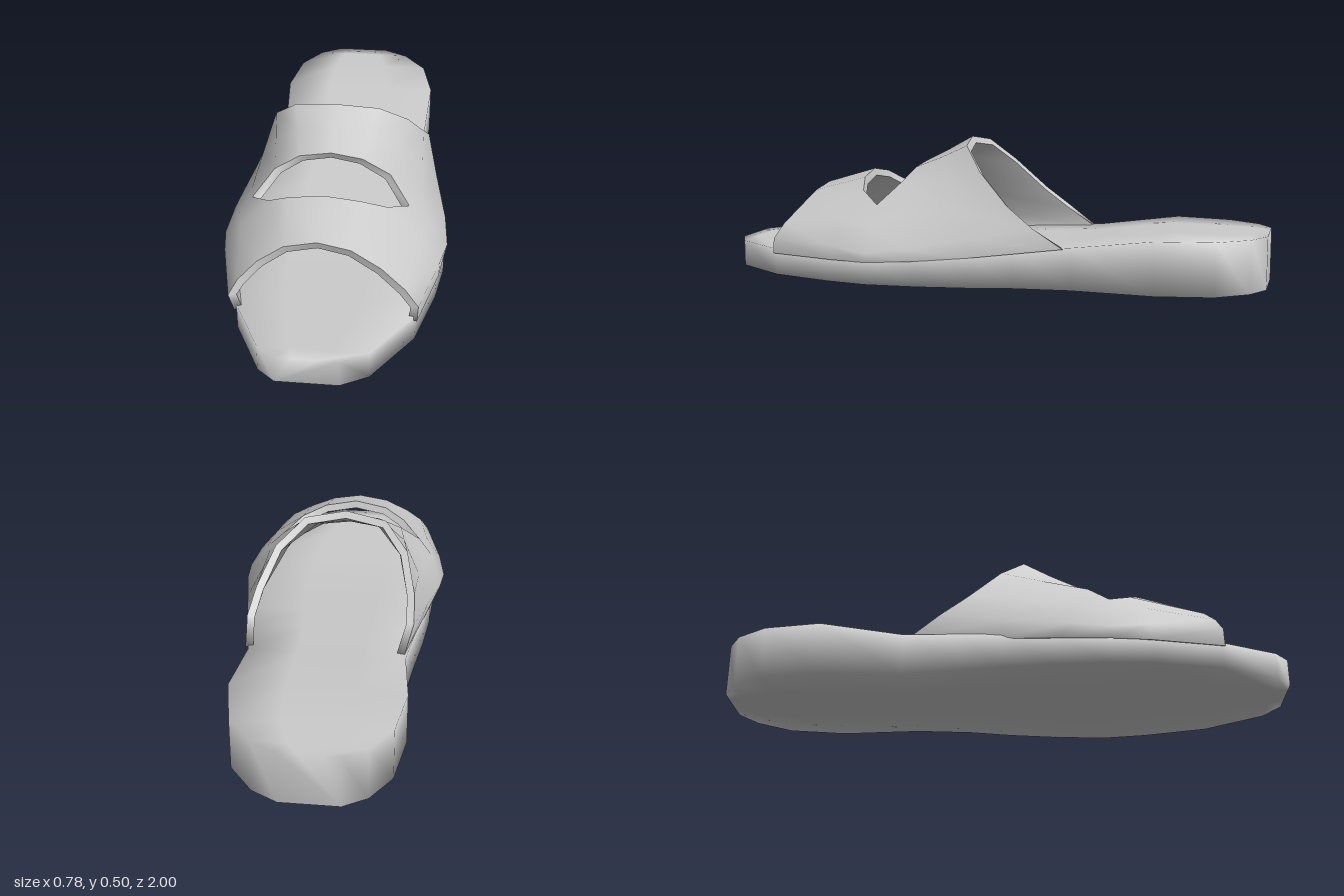
import * as THREE from 'three';

const material = new THREE.MeshStandardMaterial({ color: 0xcccccc });

function makeMesh(name, points, faces) {
  const geometry = new THREE.BufferGeometry();
  geometry.setAttribute('position', new THREE.Float32BufferAttribute(points.flat(), 3));
  geometry.setIndex(faces.flat());
  geometry.computeVertexNormals();
  const mesh = new THREE.Mesh(geometry, material);
  mesh.name = name;
  return mesh;
}

// Sole: one closed cross-section per station, lofted from toe to heel
function createSole() {
  // z, left x, right x, top y
  const stations = [
    [1, -0.14, 0.065, 0.095], [0.95, -0.2, 0.155, 0.095], [0.75, -0.3, 0.285, 0.095],
    [0.52, -0.355, 0.345, 0.095], [0.37, -0.367, 0.367, 0.095], [0.18, -0.36, 0.352, 0.11],
    [0, -0.342, 0.322, 0.123], [-0.15, -0.32, 0.285, 0.136], [-0.35, -0.295, 0.262, 0.15],
    [-0.64, -0.32, 0.275, 0.188], [-0.84, -0.29, 0.235, 0.188],
    [-0.95, -0.22, 0.15, 0.188], [-1, -0.14, 0.06, 0.188],
  ];
  const points = [], faces = [], n = 8;
  for (const [z, left, right, top] of stations) {
    const innerLeft = left + (right - left) * 0.28, innerRight = left + (right - left) * 0.68;
    points.push(
      [left, 0, z], [left, top, z], [innerLeft, top, z], [innerRight, top, z],
      [right, top, z], [right, 0, z], [innerRight, 0, z], [innerLeft, 0, z]);
  }
  for (let r = 0; r < stations.length - 1; r++) {
    for (let c = 0; c < n; c++) {
      const a = r * n + c, b = r * n + (c + 1) % n;
      faces.push([a, b, b + n], [a, b + n, a + n]);
    }
  }
  // Toe and heel ends
  const last = (stations.length - 1) * n;
  for (let i = 1; i < n - 1; i++) {
    faces.push([0, i + 1, i], [last, last + i, last + i + 1]);
  }
  return makeMesh('sole', points, faces);
}

// Upper: arched shell with a toe opening, a cut-out across the instep and an open back
function createUpper() {
  // Right half of each arch from crown to base: x, y, z
  const arches = [
    [[-0.04, 0.31, 0.68], [0.07, 0.29, 0.685], [0.17, 0.24, 0.705],
      [0.25, 0.185, 0.735], [0.295, 0.135, 0.755], [0.292, 0.08, 0.76]],
    [[-0.04, 0.367, 0.49], [0.08, 0.347, 0.48], [0.17, 0.31, 0.45],
      [0.285, 0.22, 0.48], [0.355, 0.13, 0.5], [0.352, 0.08, 0.51]],
    [[-0.04, 0.38, 0.37], [0.08, 0.36, 0.37], [0.24, 0.268, 0.37],
      [0.31, 0.2, 0.37], [0.377, 0.115, 0.37], [0.37, 0.08, 0.37]],
    [[-0.04, 0.405, 0.275], [0.07, 0.39, 0.28], [0.17, 0.345, 0.3],
      [0.28, 0.24, 0.27], [0.365, 0.135, 0.23], [0.359, 0.09, 0.2]],
    [[-0.04, 0.45, 0.185], [0.09, 0.433, 0.17], [0.19, 0.37, 0.14],
      [0.272, 0.265, 0.07], [0.325, 0.17, 0.01], [0.324, 0.108, -0.01]],
    [[-0.04, 0.5, 0.095], [0.11, 0.478, 0.07], [0.21, 0.395, -0.01],
      [0.265, 0.285, -0.125], [0.285, 0.215, -0.22], [0.275, 0.145, -0.325]],
  ];
  // The crown leans to one side, so the mirrored half is shifted
  const lean = [0.08, 0.08, 0.065, 0.045, 0.03, 0.014];
  const outer = [], faces = [], n = 11;
  for (const arch of arches) {
    for (let k = 5; k > 0; k--) outer.push([-arch[k][0] - lean[k], arch[k][1], arch[k][2]]);
    outer.push(...arch);
  }
  for (let r = 0; r < arches.length - 1; r++) {
    for (let c = 0; c < n - 1; c++) {
      if ((r === 1 || r === 2) && c >= 3 && c <= 6) continue; // cut-out
      const a = r * n + c;
      if (c < 5) faces.push([a, a + 1, a + n], [a + 1, a + n + 1, a + n]);
      else faces.push([a, a + 1, a + n + 1], [a, a + n + 1, a + n]);
    }
  }
  const outside = makeMesh('upperOutside', outer, faces);

  // Lining: the outside moved inwards along its normals
  const normals = outside.geometry.attributes.normal, thickness = 0.028;
  const inner = outer.map((p, i) => [
    p[0] - normals.getX(i) * thickness,
    p[1] - normals.getY(i) * thickness,
    p[2] - normals.getZ(i) * thickness]);
  const lining = makeMesh('upperLining', inner, faces.map(([a, b, c]) => [a, c, b]));

  // Rim: joins both skins along every open edge
  const edges = new Set();
  for (const f of faces) f.forEach((a, i) => edges.add(a + '_' + f[(i + 1) % 3]));
  const rimFaces = [], m = outer.length;
  for (const edge of edges) {
    const [a, b] = edge.split('_').map(Number);
    if (!edges.has(b + '_' + a)) rimFaces.push([b, a, a + m], [b, a + m, b + m]);
  }
  const rim = makeMesh('upperRim', [...outer, ...inner], rimFaces);

  const upper = new THREE.Group();
  upper.name = 'upper';
  upper.add(outside, lining, rim);
  return upper;
}

export function createModel() {
  const sandal = new THREE.Group();
  sandal.name = 'sandal';
  sandal.add(createSole(), createUpper());
  return sandal;
}
